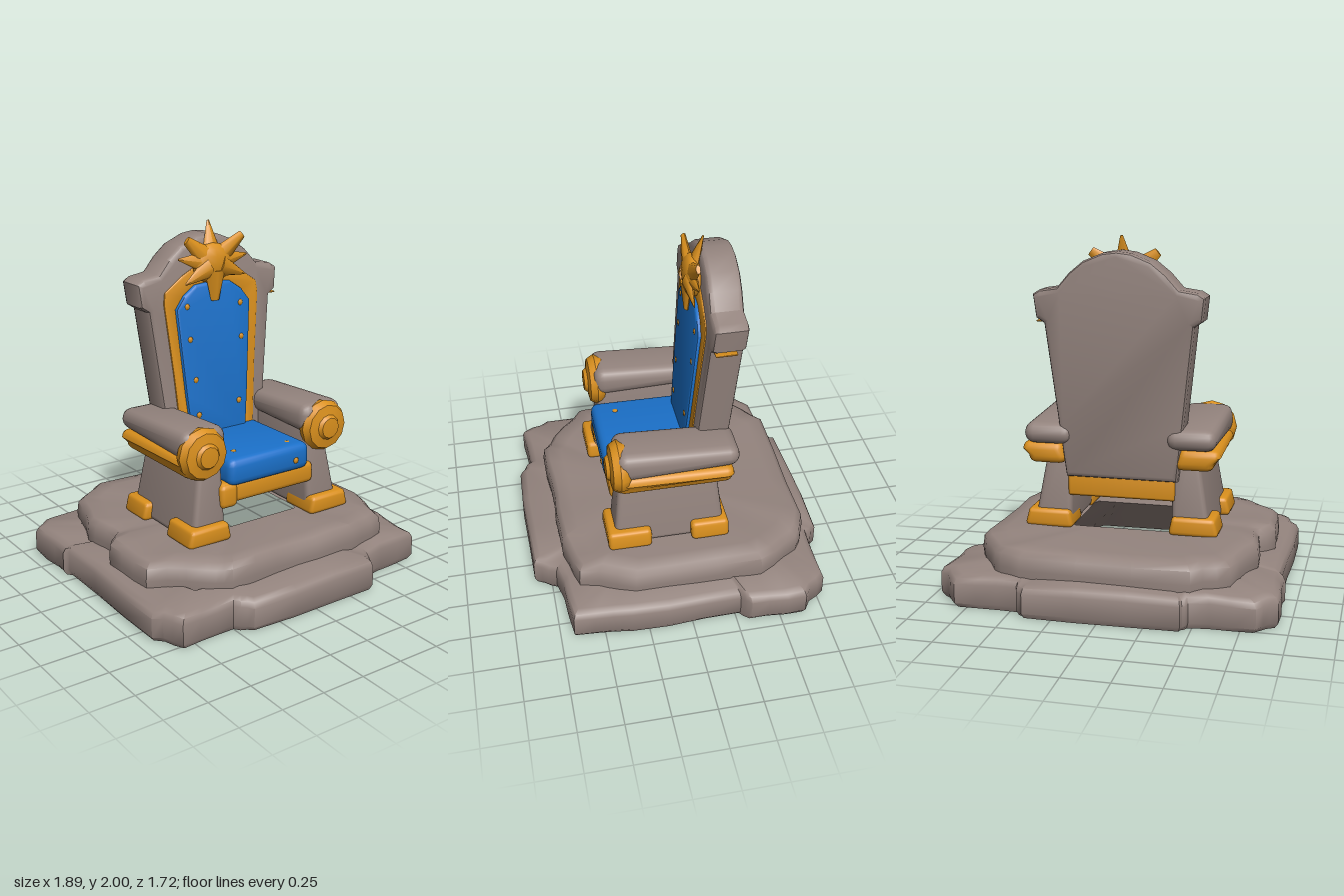
import * as THREE from 'three';
import { toCreasedNormals } from 'three/addons/utils/BufferGeometryUtils.js';
import { RoundedBoxGeometry } from 'three/addons/geometries/RoundedBoxGeometry.js';

function material(name, color) {
  const m = new THREE.MeshStandardMaterial({ color });
  m.name = name;
  return m;
}

// Split each edge of an outline, with a slight chipped wobble
function subdivide(outline, n = 3) {
  const out = [];
  outline.forEach(([x, z], i) => {
    const [x2, z2] = outline[(i + 1) % outline.length];
    for (let k = 0; k < n; k++) {
      const t = k / n, w = 1 + 0.008 * Math.sin(i * 5 + k * 2.3);
      out.push([(x + (x2 - x) * t) * w, (z + (z2 - z) * t) * w]);
    }
  });
  return out;
}

const ring = (outline, scale, y) =>
  outline.map(([x, z], i) => [x * scale, y ? y + 0.006 * Math.sin(i * 1.3) : 0, z * scale]);

// Outline projected onto the rectangular opening under the seat
const opening = (outline) => outline.map(([x, z]) => {
  const s = Math.min(0.285 / Math.abs(x || 1e-6), 0.25 / Math.abs(z || 1e-6));
  return [x * s + 0.01, 0.335, z * s + 0.03];
});

// Join closed rings into one skin
function loft(rings, crease) {
  const n = rings[0].length, index = [];
  for (let r = 0; r < rings.length - 1; r++) {
    for (let i = 0; i < n; i++) {
      const j = (i + 1) % n;
      const a = r * n + i, b = r * n + j, c = b + n, d = a + n;
      index.push(a, b, c, a, c, d);
    }
  }
  const g = new THREE.BufferGeometry();
  g.setAttribute('position', new THREE.Float32BufferAttribute(rings.flat(2), 3));
  g.setIndex(index);
  return toCreasedNormals(g, crease);
}

// Move every vertex by a rule, then rebuild normals
function deform(g, rule, crease = 0.75) {
  const p = g.attributes.position, v = new THREE.Vector3();
  for (let i = 0; i < p.count; i++) {
    rule(v.fromBufferAttribute(p, i));
    p.setXYZ(i, v.x, v.y, v.z);
  }
  return toCreasedNormals(g, crease);
}

// Rounded block from its limits on each axis
function block(x0, x1, y0, y1, z0, z1, radius, rule = () => {}) {
  const g = new RoundedBoxGeometry(x1 - x0, y1 - y0, z1 - z0, 2, radius);
  g.translate((x0 + x1) / 2, (y0 + y1) / 2, (z0 + z1) / 2);
  return deform(g, rule);
}

// Bevelled slab that leans backwards as it rises
function slab(shape, z0, z1, bevel) {
  const g = new THREE.ExtrudeGeometry(shape, {
    depth: z1 - z0 - 2 * bevel, bevelEnabled: true, bevelSegments: 2,
    bevelSize: bevel, bevelThickness: bevel, bevelOffset: -bevel, curveSegments: 8,
  });
  g.translate(-0.01, 0, z0 + bevel);
  return deform(g, (v) => { v.z -= 0.072 * (v.y - 1); });
}

// Closed symmetric path from its right half, listed bottom to top
function mirrored(half, Type = THREE.Shape) {
  const left = half.filter(([x]) => x > 0).map(([x, y]) => [-x, y]).reverse();
  return new Type([...half, ...left].map(([x, y]) => new THREE.Vector2(x, y)));
}

export function createModel() {
  const stone = material('stone', 0x94847e);
  stone.side = THREE.DoubleSide;
  const gold = material('gold', 0xda901d);
  const blue = material('blue cloth', 0x1b71ca);

  const model = new THREE.Group();
  model.name = 'throne';
  const throne = new THREE.Group();
  throne.name = 'chair';
  throne.position.x = 0.01;
  model.add(throne);
  const add = (name, geometry, mat, parent = throne) => {
    const mesh = new THREE.Mesh(geometry, mat);
    mesh.name = name;
    parent.add(mesh);
    return mesh;
  };

  // Lower step with its hollow underside
  const lower = subdivide([
    [-0.94, -0.68], [-0.94, -0.34], [-0.92, -0.3], [-0.92, 0.62], [-0.83, 0.78], [-0.51, 0.77],
    [-0.43, 0.85], [0.4, 0.85], [0.47, 0.72], [0.86, 0.67], [0.9, 0.35], [0.89, -0.28],
    [0.94, -0.33], [0.94, -0.64], [0.81, -0.78], [0.46, -0.79], [0.41, -0.865], [-0.45, -0.85],
    [-0.48, -0.79], [-0.83, -0.77],
  ]);
  add('hollowUnderside', loft([opening(lower), ring(lower, 0.98, 0)], 1.4), stone, model);
  add('lowerStep', loft([
    ring(lower, 0.98, 0), ring(lower, 1, 0.03), ring(lower, 1, 0.14),
    ring(lower, 0.985, 0.17), ring(lower, 0.95, 0.187), ring(lower, 0.76, 0.2),
  ], 0.8), stone, model);

  // Upper step with the opening
  const upper = subdivide([
    [-0.78, -0.3], [-0.76, -0.05], [-0.84, 0.05], [-0.81, 0.4], [-0.56, 0.6], [-0.45, 0.68],
    [0, 0.67], [0.4, 0.67], [0.65, 0.6], [0.76, 0.3], [0.77, -0.42], [0.62, -0.67],
    [0.45, -0.75], [-0.48, -0.75], [-0.67, -0.62],
  ]);
  add('upperStep', loft([
    ring(upper, 1, 0.16), ring(upper, 1.01, 0.23), ring(upper, 1, 0.3),
    ring(upper, 0.96, 0.33), ring(upper, 0.85, 0.338), opening(upper),
  ], 0.8), stone, model);

  // Backrest with side ears and a domed top
  add('backrest', slab(mirrored([
    [0.32, 0.64], [0.355, 0.95], [0.42, 1.52], [0.465, 1.55], [0.48, 1.68], [0.44, 1.705],
    [0.34, 1.72], [0.27, 1.8], [0.19, 1.865], [0.08, 1.91], [0, 1.92],
  ]), -0.322, -0.13, 0.03), stone);
  add('earInlay', block(0.41, 0.462, 1.524, 1.532, -0.31, -0.19, 0.003), gold);

  // Gold arch around the cloth, nearly flush with the stone
  const arch = mirrored([
    [0.25, 0.7], [0.285, 1.15], [0.325, 1.56], [0.315, 1.62], [0.2, 1.7], [0.1, 1.75], [0, 1.76],
  ]);
  const cloth = [[0.19, 0.74], [0.215, 1.0], [0.255, 1.52], [0.2, 1.59], [0.12, 1.645], [0, 1.655]];
  arch.holes.push(mirrored(cloth.map(([x, y]) => [x * 0.96, y - 0.01]), THREE.Path));
  add('backTrim', slab(arch, -0.18, -0.122, 0.006), gold);
  add('backCushion', slab(mirrored(cloth), -0.18, -0.102, 0.018), blue);

  // Small studs on the cushions
  const stud = new THREE.SphereGeometry(0.019, 6, 4);
  for (const [x, y, z] of [
    [-0.195, 1.53, -0.142], [0.172, 1.51, -0.14], [-0.185, 1.34, -0.128], [0.17, 1.31, -0.126],
    [-0.16, 1.1, -0.111], [0.135, 0.93, -0.098], [-0.15, 0.89, -0.095],
    [0.18, 0.69, 0.397], [-0.16, 0.778, 0.26], [0.18, 0.776, 0.31],
  ]) {
    const s = add('stud', stud, gold);
    s.position.set(x, y, z);
    if (y > 0.8 || z > 0.35) s.scale.z = 0.4;
    else s.scale.y = 0.4;
  }

  // Seat cushion and the frame below it
  add('seatCushion', block(-0.27, 0.28, 0.62, 0.78, -0.18, 0.395, 0.045, (v) => {
    if (v.z > 0) v.x *= 1 + 0.05 * v.z;
  }), blue);
  add('frontRail', block(-0.32, 0.33, 0.52, 0.645, 0.28, 0.375, 0.03), gold);
  add('frontRailEnd', block(-0.325, -0.21, 0.5, 0.64, 0.29, 0.385, 0.03), gold);
  add('backRail', block(-0.31, 0.31, 0.52, 0.66, -0.25, -0.19, 0.015), gold);

  // Sunburst crest
  const crest = new THREE.Group();
  crest.name = 'sunCrest';
  crest.position.set(-0.01, 1.76, -0.16);
  throne.add(crest);
  add('sunDisc', new THREE.SphereGeometry(1, 12, 8), gold, crest).scale.set(0.135, 0.115, 0.055);
  for (const [x, y, tip] of [
    [0.01, 0.245, 0.008], [0.2, 0.145, 0.026], [-0.18, 0.145, 0.026], [0.23, 0.03, 0.006],
    [-0.235, 0.045, 0.006], [0.205, -0.08, 0.006], [-0.2, -0.1, 0.006], [0, -0.212, 0.027],
  ]) {
    const length = Math.hypot(x, y);
    const g = new THREE.CylinderGeometry(tip, 0.068, length - 0.04, 7);
    g.translate(0, (length + 0.04) / 2, 0);
    g.scale(1, 1, 0.5);
    const ray = add('sunRay', toCreasedNormals(g, 1), gold, crest);
    ray.rotation.order = 'ZXY';
    ray.rotation.z = Math.atan2(-x, y);
    ray.rotation.x = y > 0.2 ? -0.28 : 0;
    ray.position.z = y < 0 ? 0.028 : 0.01;
  }

  // Lathe profile of the scroll at the front of each arm
  const scroll = new THREE.LatheGeometry([
    [0, 0.27], [0.11, 0.275], [0.143, 0.3], [0.152, 0.34], [0.13, 0.38], [0.075, 0.39],
    [0.06, 0.41], [0, 0.415],
  ].map(([r, h]) => new THREE.Vector2(r, h)), 12).rotateX(Math.PI / 2);
  const scrollGeometry = toCreasedNormals(scroll, 0.7);

  for (const s of [1, -1]) {
    const side = new THREE.Group();
    side.name = s > 0 ? 'leftSide' : 'rightSide';
    throne.add(side);
    const part = (name, x0, x1, y0, y1, z0, z1, r, mat, rule) =>
      add(name, block(s > 0 ? x0 : -x1, s > 0 ? x1 : -x0, y0, y1, z0, z1, r, rule), mat, side);

    // Side panel flaring towards the floor
    part('sidePanel', 0.29, 0.43, 0.335, 0.86, -0.21, 0.33, 0.03, stone, (v) => {
      const t = Math.max(0, (0.78 - v.y) / 0.44);
      if (Math.abs(v.x) > 0.36) v.x += s * 0.085 * t;
      v.z = 0.06 + (v.z - 0.06) * (1 + 0.2 * t);
    });
    part('sideRail', 0.255, 0.31, 0.525, 0.64, -0.22, 0.3, 0.015, gold);

    // Gold feet
    for (const [z0, z1] of [[0.17, 0.42], [-0.28, -0.06]]) {
      part('foot', 0.28, 0.56, 0.33, 0.437, z0, z1, 0.025, gold, (v) => {
        if (v.y > 0.38) v.x = s * (0.41 + (Math.abs(v.x) - 0.41) * 0.9);
      });
    }
    // Armrest, gold band below it and front scroll
    part('armrest', 0.265, 0.55, 0.81, 0.98, -0.335, 0.36, 0.06, stone, (v) => {
      v.y -= 0.05 * Math.max(0, 0.3 - v.z) * (v.y > 0.9 ? 1 : -0.6);
    });
    part('armBand', 0.33, 0.555, 0.71, 0.835, -0.3, 0.36, 0.045, gold, (v) => {
      if (v.y < 0.76) v.x -= s * 0.02;
      else if (v.z < 0 && Math.abs(v.x) > 0.45) v.x += s * 0.015;
    });
    add('armScroll', scrollGeometry, gold, side).position.set(s * 0.42, 0.84, 0);
  }
  return model;
}
